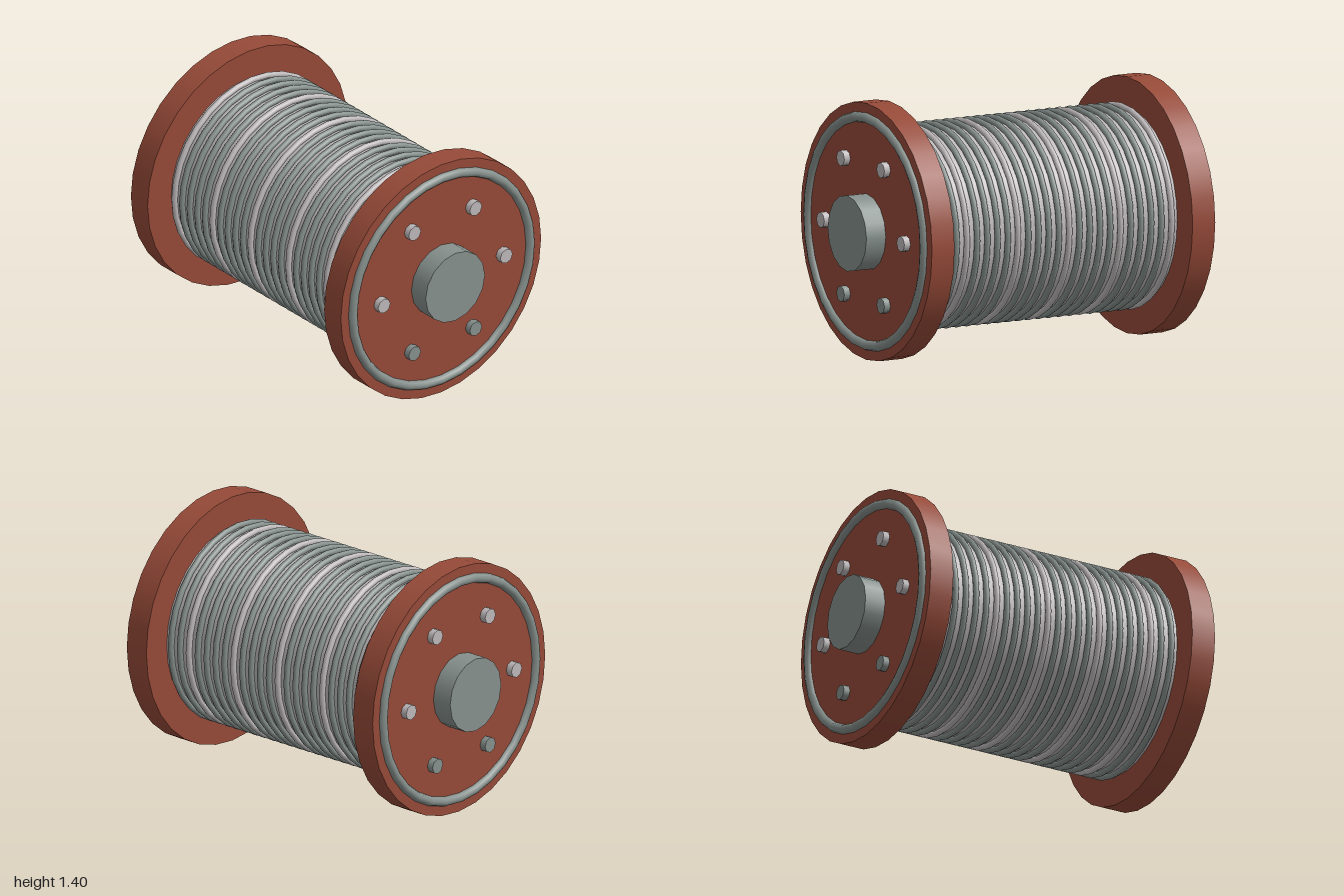
import * as THREE from 'three';

const AXIS_Y = 0.7;

export function createModel() {
  const model = new THREE.Group();
  model.name = 'cableDrum';

  const material = (name, color) => {
    const m = new THREE.MeshStandardMaterial({ color });
    m.name = name;
    return m;
  };
  const red = material('rust red', 0x964a38);
  const steel = material('grey steel', 0x86908c);
  const silver = material('light silver', 0xbdb8b9);

  const add = (name, geometry, mat, x, y, z, parent = model) => {
    const mesh = new THREE.Mesh(geometry, mat);
    mesh.name = name;
    mesh.position.set(x, y, z);
    parent.add(mesh);
    return mesh;
  };
  // Cylinder lying along z
  const rod = (radius, length, sides) =>
    new THREE.CylinderGeometry(radius, radius, length, sides).rotateX(Math.PI / 2);

  // Drum core between the flanges
  add('drumCore', rod(0.535, 1.5, 32), silver, 0, AXIS_Y, 0);

  // Cable turns, every fifth one lighter
  const turns = new THREE.Group();
  turns.name = 'cableTurns';
  model.add(turns);
  const turnGeometry = new THREE.TorusGeometry(0.545, 0.017, 8, 32);
  const count = 23;
  for (let i = 0; i < count; i++) {
    const z = -0.7 + (1.4 * i) / (count - 1);
    add('cableTurn', turnGeometry, i % 5 === 0 ? silver : steel, 0, AXIS_Y, z, turns);
  }

  // Matching ends: flange, rim ring, axle stub and bolts
  const flangeGeometry = rod(0.7, 0.14, 32);
  const rimGeometry = new THREE.TorusGeometry(0.62, 0.027, 8, 32);
  const axleGeometry = rod(0.207, 0.14, 16);
  const boltGeometry = rod(0.043, 0.04, 8);
  for (const side of [1, -1]) {
    const end = new THREE.Group();
    end.name = side > 0 ? 'frontEnd' : 'backEnd';
    model.add(end);
    add('flange', flangeGeometry, red, 0, AXIS_Y, side * 0.81, end);
    add('rimRing', rimGeometry, steel, 0, AXIS_Y, side * 0.88, end);
    add('axleStub', axleGeometry, steel, 0, AXIS_Y, side * 0.93, end);
    for (let i = 0; i < 6; i++) {
      const a = (i * Math.PI) / 3;
      add('bolt', boltGeometry, i < 4 ? silver : steel,
        0.427 * Math.cos(a), AXIS_Y + 0.427 * Math.sin(a), side * 0.897, end);
    }
  }
  return model;
}
